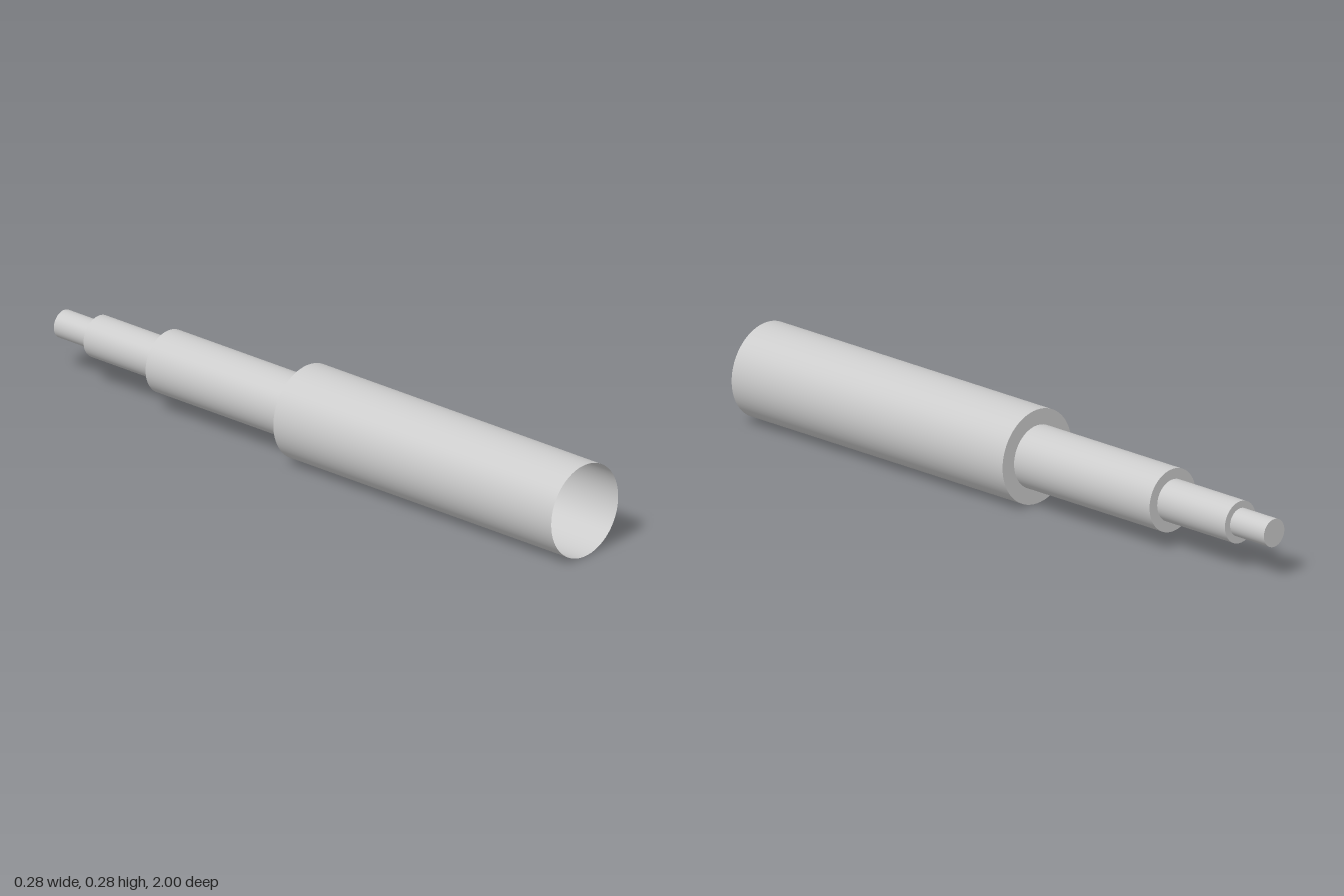
import * as THREE from 'three';

// Hollow stepped tube: each section is half as long and two thirds as wide as the one before
export function createModel() {
  const group = new THREE.Group();
  const material = new THREE.MeshStandardMaterial({ color: 0xcccccc, side: THREE.DoubleSide });
  const names = ['mainTube', 'secondTube', 'thirdTube', 'tipTube'];
  const segments = 64;
  const centreY = 0.141;

  const add = (name, geometry, z) => {
    const mesh = new THREE.Mesh(geometry, material);
    mesh.name = name;
    mesh.position.set(0, centreY, z);
    group.add(mesh);
  };

  let radius = 0.141;
  let length = 16 / 15;
  let front = 1;
  names.forEach((name, i) => {
    const back = front - length;
    const next = radius * 2 / 3;

    // Thin open wall
    const wall = new THREE.CylinderGeometry(radius, radius, length, segments, 1, true);
    add(name, wall.rotateX(-Math.PI / 2), (front + back) / 2);

    // Shoulder down to the next section, or the closed tip, facing back
    const isTip = i === names.length - 1;
    const end = isTip
      ? new THREE.CircleGeometry(radius, segments)
      : new THREE.RingGeometry(next, radius, segments);
    // Start the rim vertices where the wall's vertices lie
    add(isTip ? 'tipCap' : name + 'Shoulder', end.rotateY(Math.PI), back);

    front = back;
    radius = next;
    length /= 2;
  });
  return group;
}
